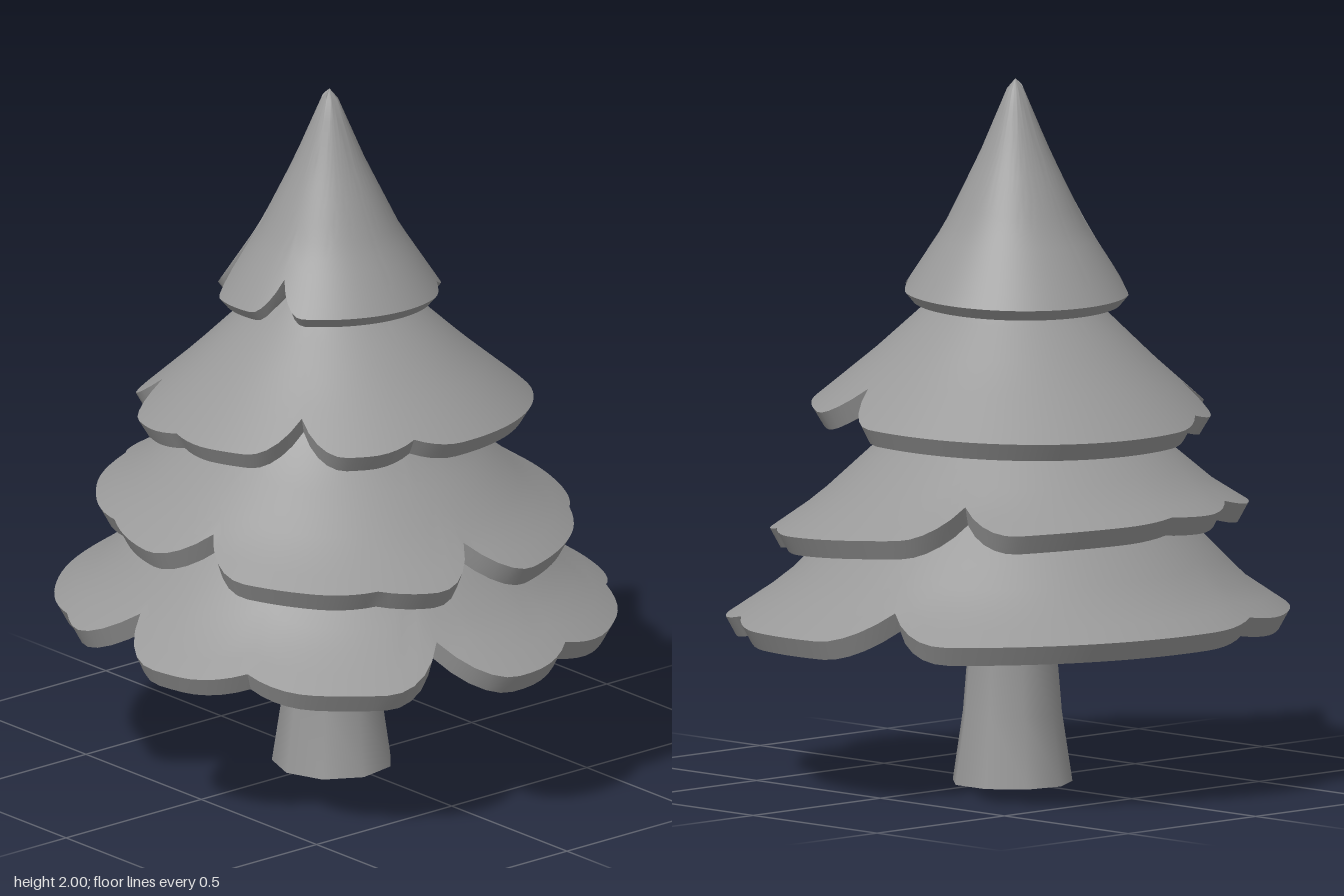
import * as THREE from 'three';
import { toCreasedNormals } from 'three/addons/utils/BufferGeometryUtils.js';

const AXIS_X = -0.03;
const SEGMENTS = 120;
const ROWS = 14;

// slope: [radius, height] down the tier; ceiling: height of the hollow at the axis
// notches: [angle in degrees from +x towards +z, depth]
const TIERS = [
  {
    name: 'bottomBranches', radius: 0.795, center: [-0.005, -0.005], tilt: 0, drop: 0.055, inset: 0.03, ceiling: 0.8,
    slope: [[0, 1.25], [0.2, 1.03], [0.5, 0.735], [0.65, 0.58], [0.82, 0.465]],
    notches: [[15, 0.14], [60, 0.045], [96, 0.125], [117, 0.015], [162, 0.025], [252, 0.115], [303, 0.03], [342, 0.04]],
  },
  {
    name: 'lowerMiddleBranches', radius: 0.675, center: [-0.015, -0.01], tilt: -0.06, drop: 0.055, inset: 0.03, ceiling: 1.02,
    slope: [[0, 1.45], [0.2, 1.19], [0.36, 1.01], [0.56, 0.835], [0.72, 0.73]],
    notches: [[0, 0.12], [30, 0.015], [78, 0.11], [111, 0.015], [153, 0.035], [180, 0.015], [237, 0.12], [306, 0.015]],
  },
  {
    name: 'upperMiddleBranches', radius: 0.567, center: [-0.03, -0.01], tilt: 0.05, drop: 0.05, inset: 0.03, ceiling: 1.25,
    slope: [[0, 1.64], [0.22, 1.38], [0.4, 1.21], [0.62, 1.02]],
    notches: [[15, 0.03], [51, 0.1], [93, 0.015], [129, 0.09], [153, 0.025], [285, 0.1]],
  },
  {
    name: 'topBranches', radius: 0.32, center: [-0.04, -0.005], tilt: 0, drop: 0.03, inset: 0.025, ceiling: 1.5,
    slope: [[0, 2], [0.018, 1.985], [0.1, 1.79], [0.2, 1.585], [0.34, 1.37]],
    notches: [[69, 0.06], [129, 0.13], [315, 0.015]],
  },
];

function heightAt(slope, r) {
  let k = 1;
  while (k < slope.length - 1 && slope[k][0] < r) k++;
  const [r0, y0] = slope[k - 1];
  const [r1, y1] = slope[k];
  return THREE.MathUtils.mapLinear(r, r0, r1, y0, y1);
}

// Round outline with a pointed dip at each notch, measured from the tree's axis
function rimPoint({ radius, center, notches }, i) {
  const degrees = (i / SEGMENTS) * 360;
  let r = radius;
  for (const [at, depth] of notches) {
    const gap = Math.abs(((degrees - at + 540) % 360) - 180);
    r -= depth * Math.max(0, 1 - gap / 15) ** 2;
  }
  const angle = THREE.MathUtils.degToRad(degrees);
  return [center[0] + r * Math.cos(angle) - AXIS_X, center[1] + r * Math.sin(angle)];
}

// Skirt with a shallow hollow: rings run from the tip down to the rim, then back up underneath
function tierGeometry(tier) {
  const positions = [];
  const index = [];
  for (let k = 0; k < ROWS * 2; k++) {
    const inside = k >= ROWS;
    const s = (inside ? ROWS * 2 - 1 - k : k) / (ROWS - 1);
    for (let i = 0; i < SEGMENTS; i++) {
      const [x, z] = rimPoint(tier, i);
      const full = Math.hypot(x, z);
      const surfaceY = (t) => heightAt(tier.slope, full * t) + tier.tilt * x * t;
      const y = inside ? THREE.MathUtils.lerp(tier.ceiling, surfaceY(1) - tier.drop, s) : surfaceY(s);
      const scale = inside ? s * (1 - tier.inset / full) : s;
      positions.push(AXIS_X + x * scale, y, z * scale);
      if (k === 0) continue;
      const j = (i + 1) % SEGMENTS;
      const up = (k - 1) * SEGMENTS;
      const low = k * SEGMENTS;
      index.push(low + i, up + i, low + j, low + j, up + i, up + j);
    }
  }
  const geometry = new THREE.BufferGeometry();
  geometry.setAttribute('position', new THREE.Float32BufferAttribute(positions, 3));
  geometry.setIndex(index);
  return toCreasedNormals(geometry, 0.7);
}

export function createModel() {
  const model = new THREE.Group();
  model.name = 'pineTree';
  const material = new THREE.MeshStandardMaterial({ color: 0x999999 });

  for (const tier of TIERS) {
    const mesh = new THREE.Mesh(tierGeometry(tier), material);
    mesh.name = tier.name;
    model.add(mesh);
  }

  // Flared trunk, open at the foot
  const outline = [[0.172, 0], [0.142, 0.2], [0.124, 0.42], [0.115, 0.85]];
  const lathe = new THREE.LatheGeometry(outline.map(([r, y]) => new THREE.Vector2(r, y)), 9);
  const trunkMaterial = new THREE.MeshStandardMaterial({ color: 0x999999, side: THREE.DoubleSide });
  const trunk = new THREE.Mesh(toCreasedNormals(lathe, 0.9), trunkMaterial);
  trunk.name = 'trunk';
  trunk.position.x = -0.015;
  model.add(trunk);

  return model;
}
